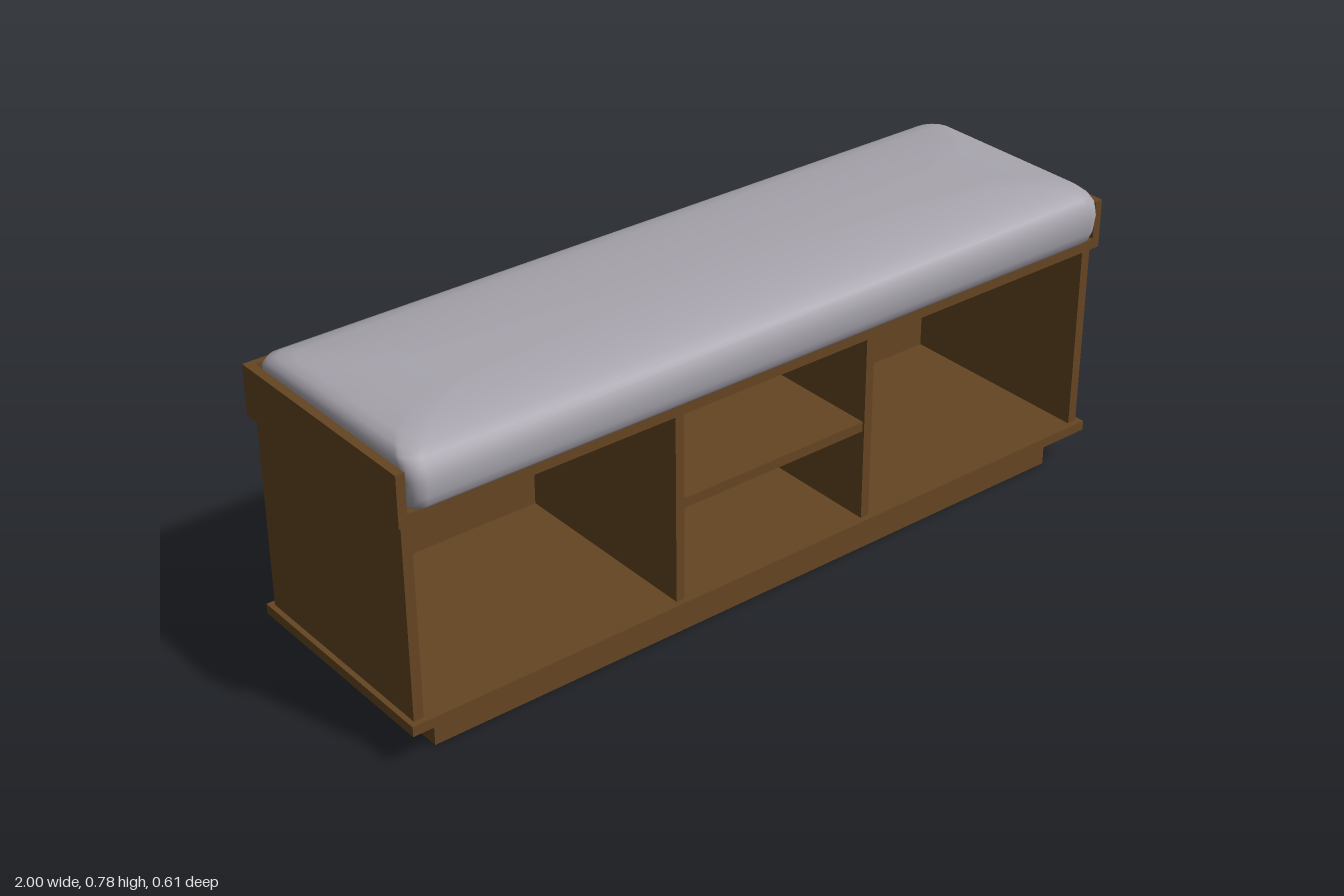
import * as THREE from 'three';

const wood = new THREE.MeshStandardMaterial({ color: 0x654522 });
wood.name = 'brown wood';
const fabric = new THREE.MeshStandardMaterial({ color: 0xa8a5ae });
fabric.name = 'grey fabric';

// Box given by its limits on each axis
function board(group, name, [x0, x1], [y0, y1], [z0, z1]) {
  const mesh = new THREE.Mesh(new THREE.BoxGeometry(x1 - x0, y1 - y0, z1 - z0), wood);
  mesh.position.set((x0 + x1) / 2, (y0 + y1) / 2, (z0 + z1) / 2);
  mesh.name = name;
  group.add(mesh);
}

// Stacked rounded-rectangle rings closed by centre points
function cushionGeometry() {
  // height, half width, back z, front z, corner radius
  const rings = [
    [0.627, 0.962, -0.282, 0.283, 0.03],
    [0.637, 0.967, -0.286, 0.292, 0.03],
    [0.66, 0.972, -0.288, 0.301, 0.032],
    [0.70, 0.976, -0.289, 0.305, 0.035],
    [0.73, 0.978, -0.288, 0.298, 0.04],
    [0.745, 0.974, -0.279, 0.285, 0.045],
    [0.757, 0.962, -0.255, 0.264, 0.045],
    [0.766, 0.94, -0.215, 0.235, 0.045],
    [0.775, 0.88, -0.125, 0.19, 0.04],
    [0.78, 0.76, -0.03, 0.125, 0.03],
  ];
  const steps = 6, count = 4 * (steps + 1);
  const points = [], index = [];
  for (const [y, w, back, front, r] of rings) {
    for (let c = 0; c < 4; c++) {
      const cx = (c === 0 || c === 3 ? 1 : -1) * (w - r);
      const cz = c < 2 ? front - r : back + r;
      for (let s = 0; s <= steps; s++) {
        const a = (c + s / steps) * Math.PI / 2;
        points.push(cx + r * Math.cos(a), y, cz + r * Math.sin(a));
      }
    }
  }
  const top = rings.length * count, last = top - count;
  points.push(0, 0.782, 0.05, 0, 0.627, 0);
  for (let i = 0; i < count; i++) {
    const j = (i + 1) % count;
    for (let k = 0; k < rings.length - 1; k++) {
      const a = k * count + i, b = k * count + j;
      index.push(a, a + count, b, b, a + count, b + count);
    }
    index.push(last + i, top, last + j, i, j, top + 1);
  }
  const geometry = new THREE.BufferGeometry();
  geometry.setAttribute('position', new THREE.Float32BufferAttribute(points, 3));
  geometry.setIndex(index);
  geometry.computeVertexNormals();
  return geometry;
}

export function createModel() {
  const model = new THREE.Group();
  model.name = 'storageBench';

  // Base and top boards
  board(model, 'plinth', [-0.917, 0.917], [0, 0.09], [-0.27, 0.23]);
  board(model, 'baseBoard', [-1, 1], [0.09, 0.115], [-0.305, 0.28]);
  board(model, 'topBoard', [-1, 1], [0.6, 0.627], [-0.305, 0.28]);

  // Open cabinet
  for (const [side, s] of [['left', 1], ['right', -1]]) {
    const span = (a, b) => (s > 0 ? [a, b] : [-b, -a]);
    board(model, side + 'SidePanel', span(0.962, 0.987), [0.115, 0.6], [-0.29, 0.265]);
    board(model, side + 'Divider', span(0.265, 0.288), [0.115, 0.6], [-0.27, 0.265]);
    board(model, side + 'Rail', span(0.978, 1), [0.627, 0.724], [-0.305, 0.28]);
  }
  board(model, 'backPanel', [-0.962, 0.962], [0.115, 0.6], [-0.287, -0.27]);
  board(model, 'middleShelf', [-0.265, 0.265], [0.348, 0.373], [-0.27, 0.26]);
  board(model, 'backRail', [-0.978, 0.978], [0.627, 0.724], [-0.305, -0.288]);

  // Padded seat
  const cushion = new THREE.Mesh(cushionGeometry(), fabric);
  cushion.name = 'seatCushion';
  model.add(cushion);
  return model;
}
